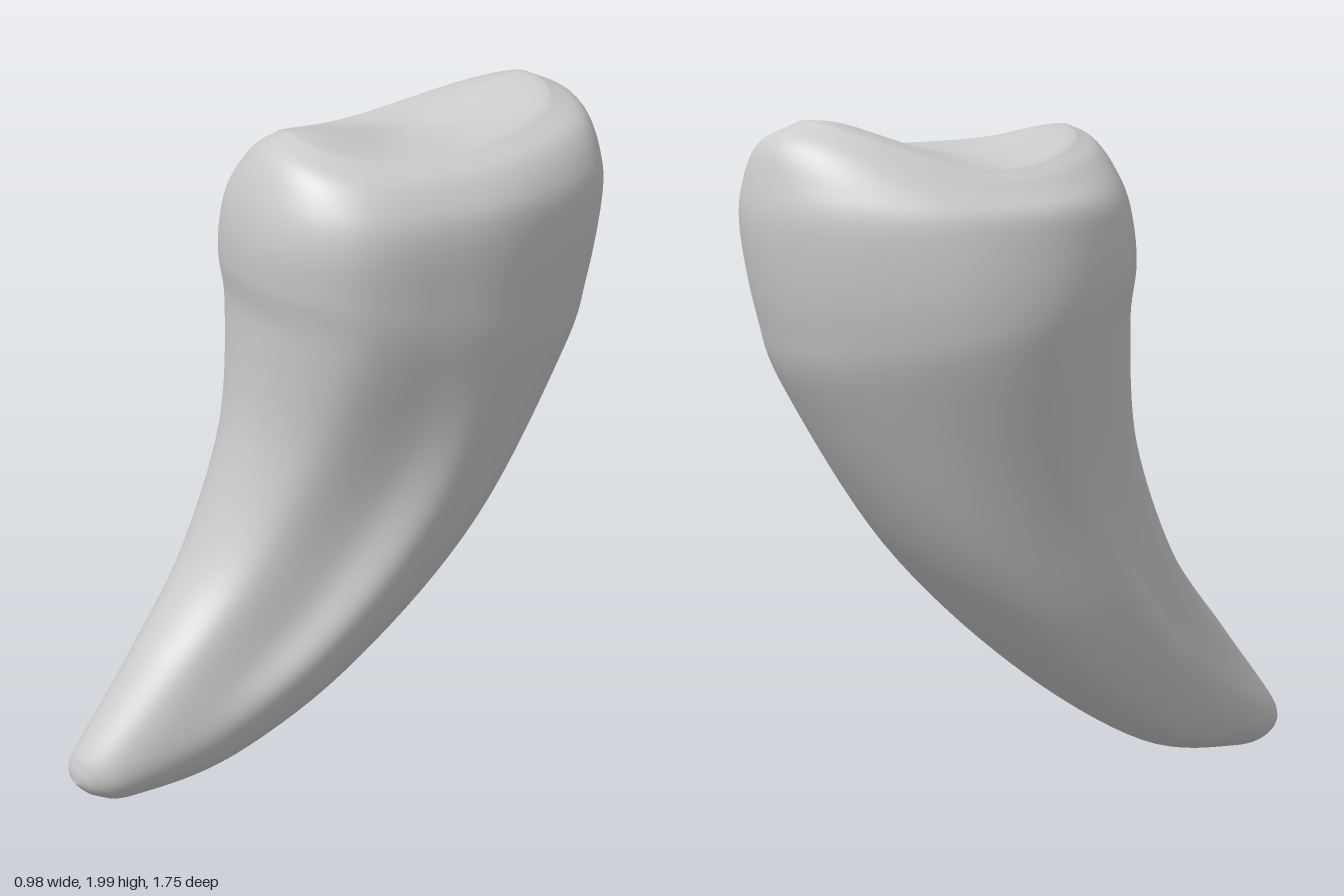
import * as THREE from 'three';

const { lerp, smoothstep } = THREE.MathUtils;

// Tilted sections from root tip to crown rim: front z, y, back z, y, min x, max x
const STATIONS = [
  [0.875, 0.07, 0.875, 0.07, -0.1, -0.1],
  [0.87, 0.125, 0.82, 0.022, -0.17, -0.03],
  [0.83, 0.2, 0.71, 0.002, -0.2, 0.035],
  [0.66, 0.42, 0.4, 0.06, -0.25, 0.15],
  [0.44, 0.7, 0, 0.32, -0.325, 0.285],
  [0.32, 1.05, -0.4, 0.71, -0.375, 0.4],
  [0.31, 1.4, -0.73, 1.2, -0.46, 0.46],
  [0.335, 1.57, -0.82, 1.42, -0.485, 0.475],
  [0.34, 1.7, -0.87, 1.68, -0.46, 0.48],
  [0.315, 1.82, -0.86, 1.83, -0.41, 0.455],
  [0.26, 1.92, -0.82, 1.94, -0.34, 0.4],
  [0.17, 1.96, -0.72, 1.995, -0.27, 0.31],
];

// Section outlines (x, depth in -1..1), front first, then round by +x
const CROWN = [[0.25, 1], [0.8, 0.8], [1, 0.3], [1, -0.2], [0.75, -0.78],
  [0.15, -1], [-0.45, -0.83], [-0.92, -0.35], [-0.96, 0.2], [-0.5, 0.8]];
const ROOT = [[-0.1, 1], [0.45, 0.82], [0.72, 0.2], [0.96, -0.2], [0.75, -0.8],
  [0, -1], [-0.7, -0.8], [-1, -0.15], [-0.9, 0.25], [-0.65, 0.78]];

const outline = (pts) =>
  new THREE.CatmullRomCurve3(pts.map(([u, v]) => new THREE.Vector3(u, v, 0)), true, 'catmullrom');
const column = (a, b, c) =>
  new THREE.CatmullRomCurve3(STATIONS.map((s) => new THREE.Vector3(s[a], s[b], s[c])), false, 'catmullrom');

function toothGeometry(bodyRings, capRings, sides) {
  const crown = outline(CROWN), root = outline(ROOT);
  const front = column(0, 1, 4), back = column(2, 3, 5);
  const bowl = new THREE.Vector3(0.015, 1.895, -0.27);
  const position = [], index = [];
  const rings = bodyRings + capRings;
  for (let r = 0; r <= rings; r++) {
    const t = Math.min(1, r / bodyRings);
    const f = front.getPoint(t), b = back.getPoint(t);
    const height = (f.y + b.y) / 2;
    // Round tip blends into grooved root, then into the squarer crown
    const rootness = smoothstep(height, 0.05, 0.45);
    const crownness = smoothstep(height, 0.6, 1.45);
    const sagging = 0.07 * smoothstep(height, 1.7, 1.97);
    // Rings past the rim shrink into the chewing surface
    const shrink = 1 - Math.max(0, r - bodyRings) / capRings;
    for (let k = 0; k < sides; k++) {
      const angle = (k / sides) * Math.PI * 2;
      const p = new THREE.Vector3(Math.sin(angle), Math.cos(angle), 0)
        .lerp(root.getPoint(k / sides), rootness)
        .lerp(crown.getPoint(k / sides), crownness);
      const depth = (1 + p.y) / 2;
      // The rim dips at the sides, more on the -x side
      const sag = sagging * (p.x * p.x + 0.7 * Math.max(0, -p.x));
      const x = lerp(f.z, b.z, (1 + p.x) / 2);
      const y = lerp(b.y, f.y, depth) - sag;
      const z = lerp(b.x, f.x, depth);
      position.push(lerp(bowl.x, x, shrink), lerp(bowl.y, y, smoothstep(shrink, 0, 1)), lerp(bowl.z, z, shrink));
      if (r < rings) {
        const i = r * sides + k, j = r * sides + ((k + 1) % sides);
        index.push(i, j, i + sides, j, j + sides, i + sides);
      }
    }
  }
  const geometry = new THREE.BufferGeometry();
  geometry.setAttribute('position', new THREE.Float32BufferAttribute(position, 3));
  geometry.setIndex(index);
  geometry.computeVertexNormals();
  return geometry;
}

export function createModel() {
  const group = new THREE.Group();
  group.name = 'tooth';
  // Crown and curved, grooved root in one smooth surface
  const tooth = new THREE.Mesh(toothGeometry(88, 20, 80), new THREE.MeshStandardMaterial({ color: 0xcccccc }));
  tooth.name = 'crownAndRoot';
  group.add(tooth);
  return group;
}
